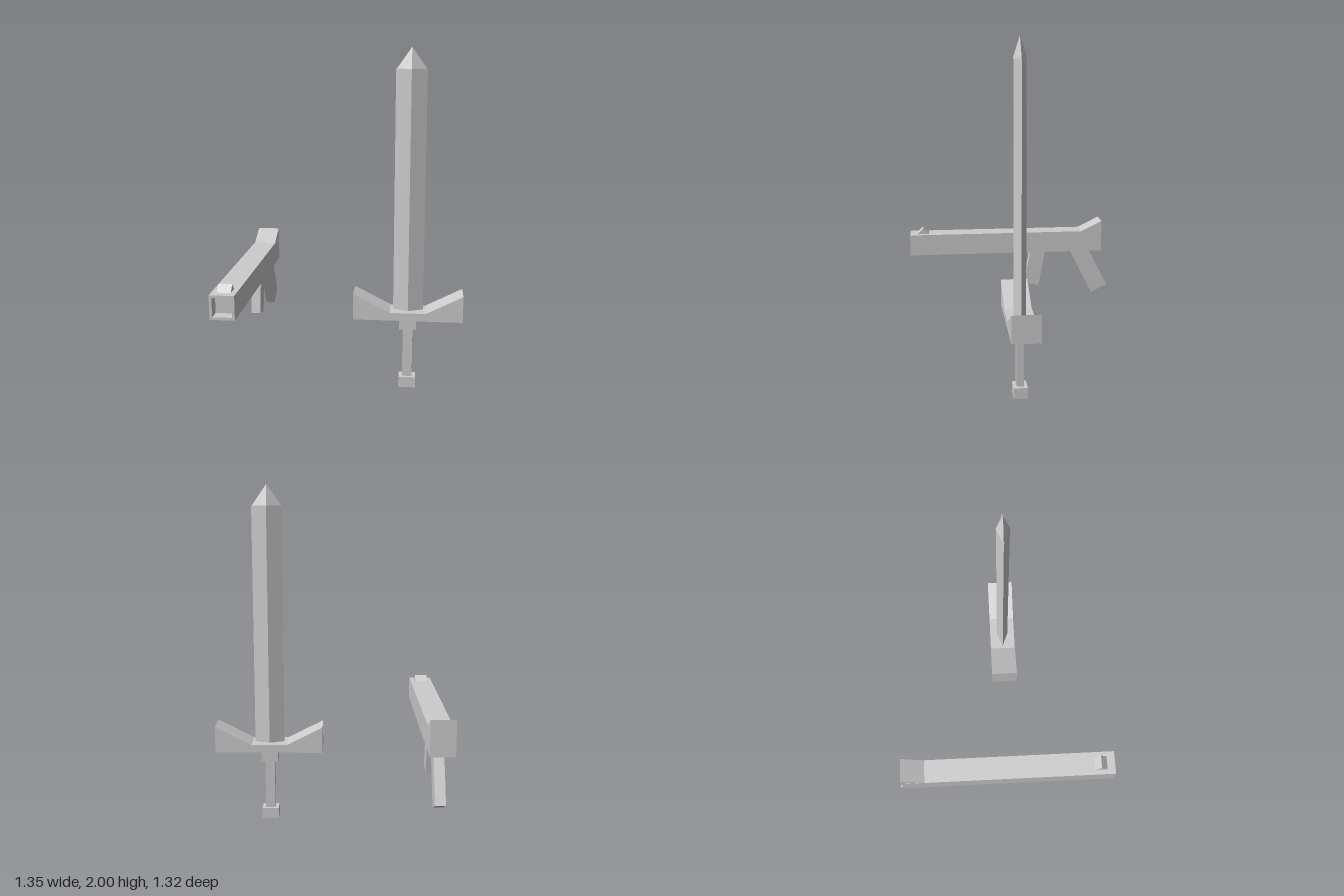
import * as THREE from 'three';

const SWORD_X = 0.352, SWORD_Z = 0.034, GUN_X = -0.606;

export function createModel() {
  const model = new THREE.Group();
  const grey = new THREE.MeshStandardMaterial({ color: 0xcccccc, flatShading: true });
  grey.name = 'plainGrey';

  const add = (group, name, geometry, x = 0, y = 0, z = 0) => {
    const mesh = new THREE.Mesh(geometry, grey);
    mesh.name = name;
    mesh.position.set(x, y, z);
    group.add(mesh);
  };
  const group = (name) => {
    const g = new THREE.Group();
    g.name = name;
    model.add(g);
    return g;
  };
  const shapeOf = (points) => new THREE.Shape(points.map(([a, b]) => new THREE.Vector2(a, b)));
  // Extrusion centred on its own depth
  const slab = (shape, depth) =>
    new THREE.ExtrudeGeometry(shape, { depth, bevelEnabled: false }).translate(0, 0, -depth / 2);
  // Profile given as [z, y], extruded across x
  const sideSlab = (points, width) => slab(shapeOf(points), width).rotateY(-Math.PI / 2);
  // Box standing between two heights
  const block = (w, y0, y1, d) =>
    new THREE.BoxGeometry(w, y1 - y0, d).translate(0, (y0 + y1) / 2, 0);
  // Four-sided diamond column or spike
  const diamond = (top, halfX, halfZ, y0, y1) =>
    new THREE.CylinderGeometry(top, 1, y1 - y0, 4)
      .scale(halfX, 1, halfZ)
      .translate(0, (y0 + y1) / 2, 0);

  // Sword
  const sword = group('sword');
  sword.position.set(SWORD_X, 0, SWORD_Z);
  add(sword, 'pommel', block(0.1, 0, 0.065, 0.08));
  add(sword, 'handle', block(0.058, 0.065, 0.365, 0.042));
  add(sword, 'collar', block(0.1, 0.365, 0.433, 0.08));
  add(sword, 'crossguard', slab(shapeOf([
    [-0.32, 0.433], [0.32, 0.433], [0.32, 0.59], [0.105, 0.48], [-0.105, 0.48], [-0.32, 0.59],
  ]), 0.158));
  add(sword, 'blade', diamond(1, 0.088, 0.035, 0.47, 1.88));
  add(sword, 'bladeTip', diamond(0, 0.084, 0.038, 1.88, 2));

  // Gun, pointing to the front
  const gun = group('gun');
  gun.position.x = GUN_X;
  const width = 0.136, front = 0.658, back = -0.612, recess = 0.07;
  add(gun, 'body', block(width, 0.6, 0.735, front - recess - back), 0, 0, (front - recess + back) / 2);

  // Hollow muzzle: square ring in front of the body
  const ring = shapeOf([[-0.068, 0.6], [0.068, 0.6], [0.068, 0.735], [-0.068, 0.735]]);
  ring.holes.push(shapeOf([[-0.053, 0.615], [-0.053, 0.72], [0.053, 0.72], [0.053, 0.615]]));
  add(gun, 'muzzle', slab(ring, recess), 0, 0, front - recess / 2);

  add(gun, 'frontSight', sideSlab([[0.536, 0.735], [0.61, 0.735], [0.573, 0.772]], 0.077));
  add(gun, 'stockRiser', sideSlab([[back, 0.735], [-0.476, 0.735], [back, 0.803]], 0.134));
  add(gun, 'magazine',
    sideSlab([[-0.137, 0.6], [-0.237, 0.6], [-0.192, 0.362], [-0.094, 0.38]], 0.057), 0.011);
  add(gun, 'rearGrip',
    sideSlab([[-0.401, 0.6], [-0.533, 0.6], [-0.658, 0.353], [-0.554, 0.3]], 0.057), 0.011);

  return model;
}
